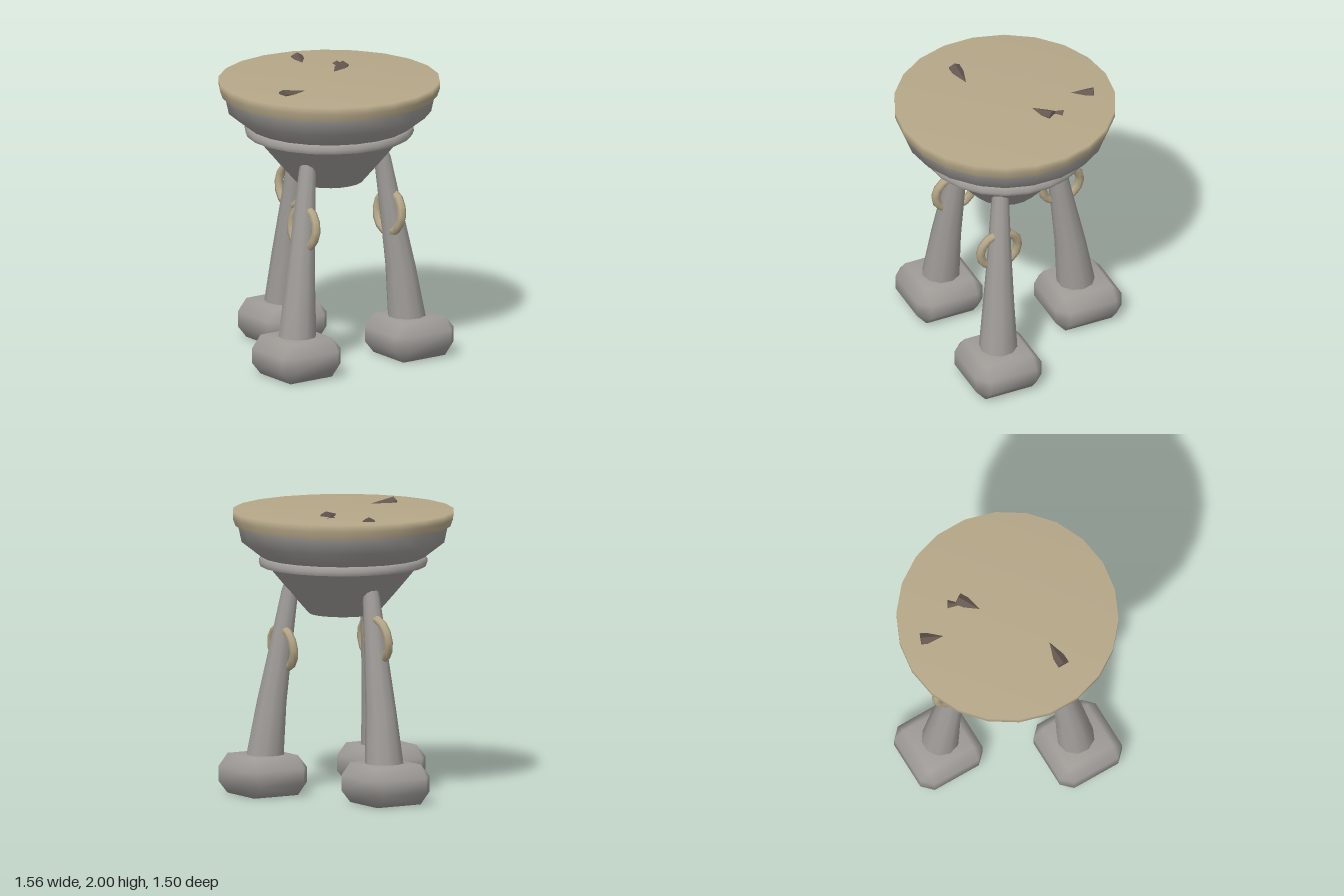
import * as THREE from 'three';
import { mergeVertices } from 'three/addons/utils/BufferGeometryUtils.js';
import { ConvexGeometry } from 'three/addons/geometries/ConvexGeometry.js';

const CENTRE_X = 0.015;
const SIDES = 22;

const stone = new THREE.MeshStandardMaterial({ color: 0x9f9c98, side: THREE.DoubleSide });
stone.name = 'grey stone';
const sand = new THREE.MeshStandardMaterial({ color: 0xb5a788 });
sand.name = 'sandy tan';
const char = new THREE.MeshStandardMaterial({ color: 0x64574f });
char.name = 'charred brown';

function mesh(name, geometry, material) {
  const m = new THREE.Mesh(geometry, material);
  m.name = name;
  return m;
}

// Turned part from [radius, y] pairs listed from bottom to top; repeat a pair for a sharp edge
function turned(profile) {
  const g = new THREE.LatheGeometry(profile.map(([r, y]) => new THREE.Vector2(r, y)), SIDES);
  return g.rotateY(Math.PI / 2).translate(CENTRE_X, 0, 0);
}

// Bevelled block with soft shading, standing on y = 0
function footGeometry() {
  const outer = 0.247, inner = 0.175, h = 0.1375, hInner = 0.052;
  const points = [];
  for (const sx of [-1, 1]) for (const sy of [-1, 1]) for (const sz of [-1, 1]) {
    points.push(new THREE.Vector3(sx * outer, sy * hInner, sz * inner));
    points.push(new THREE.Vector3(sx * inner, sy * hInner, sz * outer));
    points.push(new THREE.Vector3(sx * inner, sy * h, sz * inner));
  }
  const g = new ConvexGeometry(points);
  g.deleteAttribute('normal');
  const smooth = mergeVertices(g, 1e-4);
  smooth.computeVertexNormals();
  return smooth.translate(0, h, 0);
}

// Bent tapering leg through level rings: [distance from centre, y, radius]
function legGeometry() {
  const rings = [
    [0.33, 1.53, 0.05], [0.365, 1.4, 0.06], [0.43, 1.0, 0.082],
    [0.49, 0.63, 0.106], [0.535, 0.26, 0.133],
  ];
  const n = 10;
  const g = new THREE.CylinderGeometry(1, 1, 1, n, rings.length - 1, true);
  const p = g.attributes.position;
  for (let i = 0; i < p.count; i++) {
    const [d, y, r] = rings[Math.floor(i / (n + 1))];
    p.setXYZ(i, d + p.getX(i) * r, y, p.getZ(i) * r);
  }
  const smooth = mergeVertices(g.deleteAttribute('normal').deleteAttribute('uv'), 1e-4);
  smooth.computeVertexNormals();
  return smooth;
}

// Faceted stick sunk in the filling: raised end [x, z], and the point [x, z] where it sinks away
function shard(end, tip, radius, top) {
  const surface = 1.96;
  const a = new THREE.Vector3(end[0], top - radius, end[1]);
  const b = new THREE.Vector3(tip[0], surface - radius, tip[1]);
  const axis = a.clone().sub(b);
  const length = axis.length() * 1.15;
  axis.normalize();
  const g = new THREE.CylinderGeometry(radius, radius, length, 6).toNonIndexed();
  g.translate(0, -length / 2, 0);
  g.computeVertexNormals();
  const m = mesh('shard', g, char);
  // Turn the stick so that one ridge faces up
  const side = new THREE.Vector3().crossVectors(axis, new THREE.Vector3(0, 1, 0)).normalize();
  const up = new THREE.Vector3().crossVectors(side, axis);
  m.quaternion.setFromRotationMatrix(new THREE.Matrix4().makeBasis(side, axis, up));
  m.position.copy(a);
  return m;
}

export function createModel() {
  const model = new THREE.Group();
  model.name = 'brazier';

  // Bowl: open cone, band, flared wall
  const bowl = new THREE.Group();
  bowl.name = 'bowl';
  bowl.add(
    mesh('lowerCone', turned([[0.235, 1.25], [0.365, 1.4], [0.52, 1.585]]), stone),
    mesh('band', turned([[0, 1.58], [0.57, 1.58], [0.57, 1.58], [0.582, 1.61], [0.562, 1.642], [0.5, 1.645]]), stone),
    mesh('upperWall', turned([[0.54, 1.63], [0.565, 1.645], [0.7, 1.75], [0.725, 1.865]]), stone),
  );
  model.add(bowl);

  // Filled rim with a softly shaded top
  model.add(mesh('filledRim', turned([
    [0.69, 1.86], [0.742, 1.86], [0.742, 1.86], [0.76, 1.91], [0.76, 1.96], [0, 1.96],
  ]), sand));

  // Three legs with feet; the feet stay square to the axes
  const foot = footGeometry();
  const leg = legGeometry();
  for (let i = 0; i < 3; i++) {
    const angle = Math.PI + (i * Math.PI * 2) / 3;
    const l = mesh('leg', leg, stone);
    l.rotation.y = -angle;
    l.position.x = CENTRE_X;
    const f = mesh('foot', foot, stone);
    f.position.set(CENTRE_X + 0.55 * Math.cos(angle), 0, 0.55 * Math.sin(angle));
    model.add(l, f);
  }

  // Rings threaded through the legs
  const ring = new THREE.TorusGeometry(0.142, 0.031, 7, 14);
  for (const [x, y, z] of [[-0.414, 1.115, 0.01], [0.225, 1.01, 0.366], [0.225, 1.01, -0.356]]) {
    const r = mesh('ring', ring, sand);
    r.position.set(x, y, z);
    r.rotation.x = -0.11;
    model.add(r);
  }

  // Burnt sticks poking out of the filling
  model.add(
    shard([-0.585, -0.16], [-0.44, -0.1], 0.046, 1.993),
    shard([-0.215, -0.285], [-0.125, -0.145], 0.046, 1.997),
    shard([-0.295, -0.285], [-0.2, -0.23], 0.035, 1.978),
    shard([0.163, 0.505], [0.163, 0.315], 0.046, 1.996),
  );
  return model;
}
